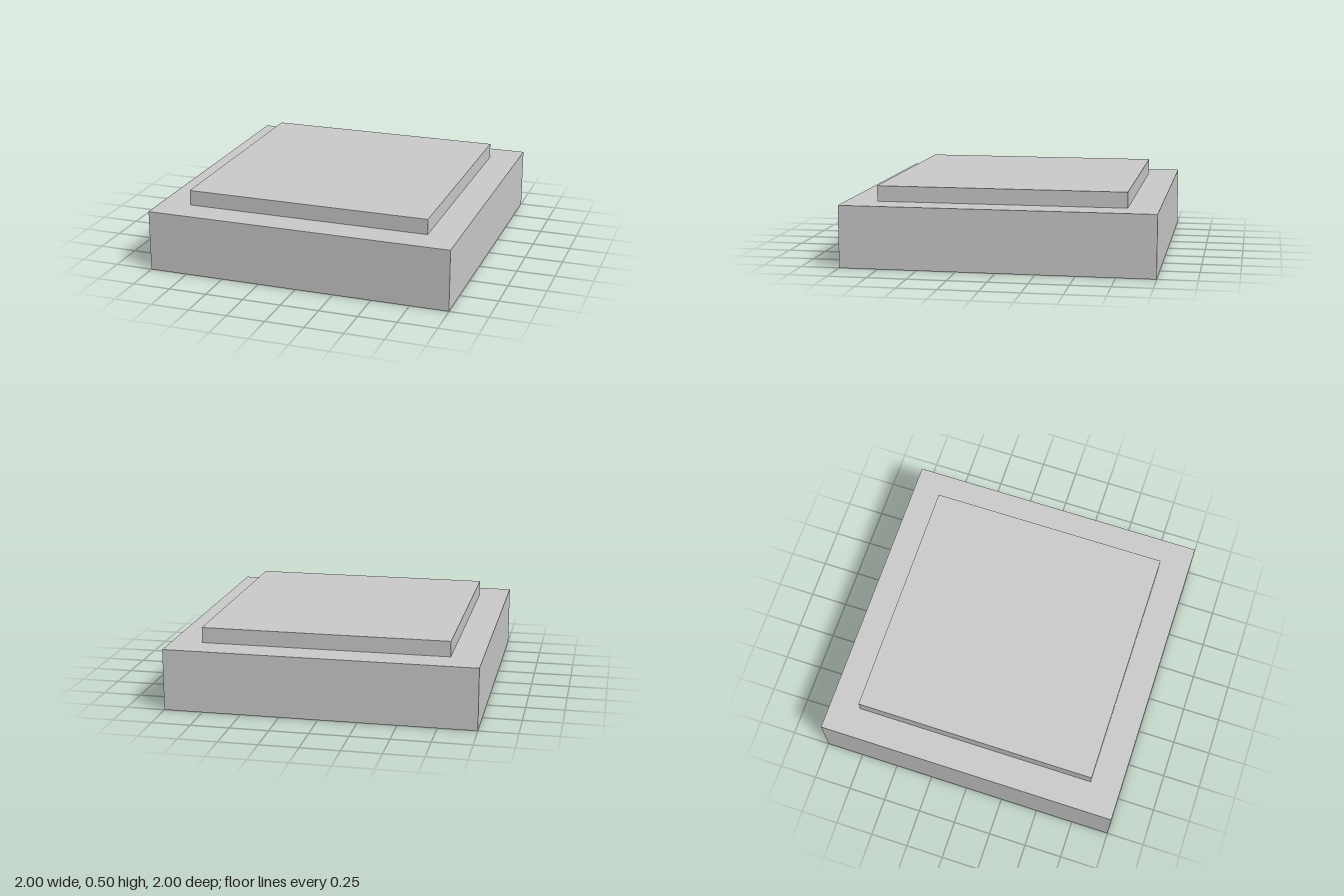
import * as THREE from 'three';

const material = new THREE.MeshStandardMaterial({ color: 0xcccccc, flatShading: true });

// Square slab resting on height y
function slab(name, width, height, y) {
  const mesh = new THREE.Mesh(new THREE.BoxGeometry(width, height, width), material);
  mesh.name = name;
  mesh.position.y = y + height / 2;
  return mesh;
}

export function createModel() {
  const model = new THREE.Group();
  model.name = 'steppedPlinth';
  model.add(
    slab('base', 2, 0.4, 0), // broad lower block
    slab('topPlate', 1.6, 0.1, 0.4) // thin raised plate
  );
  return model;
}
